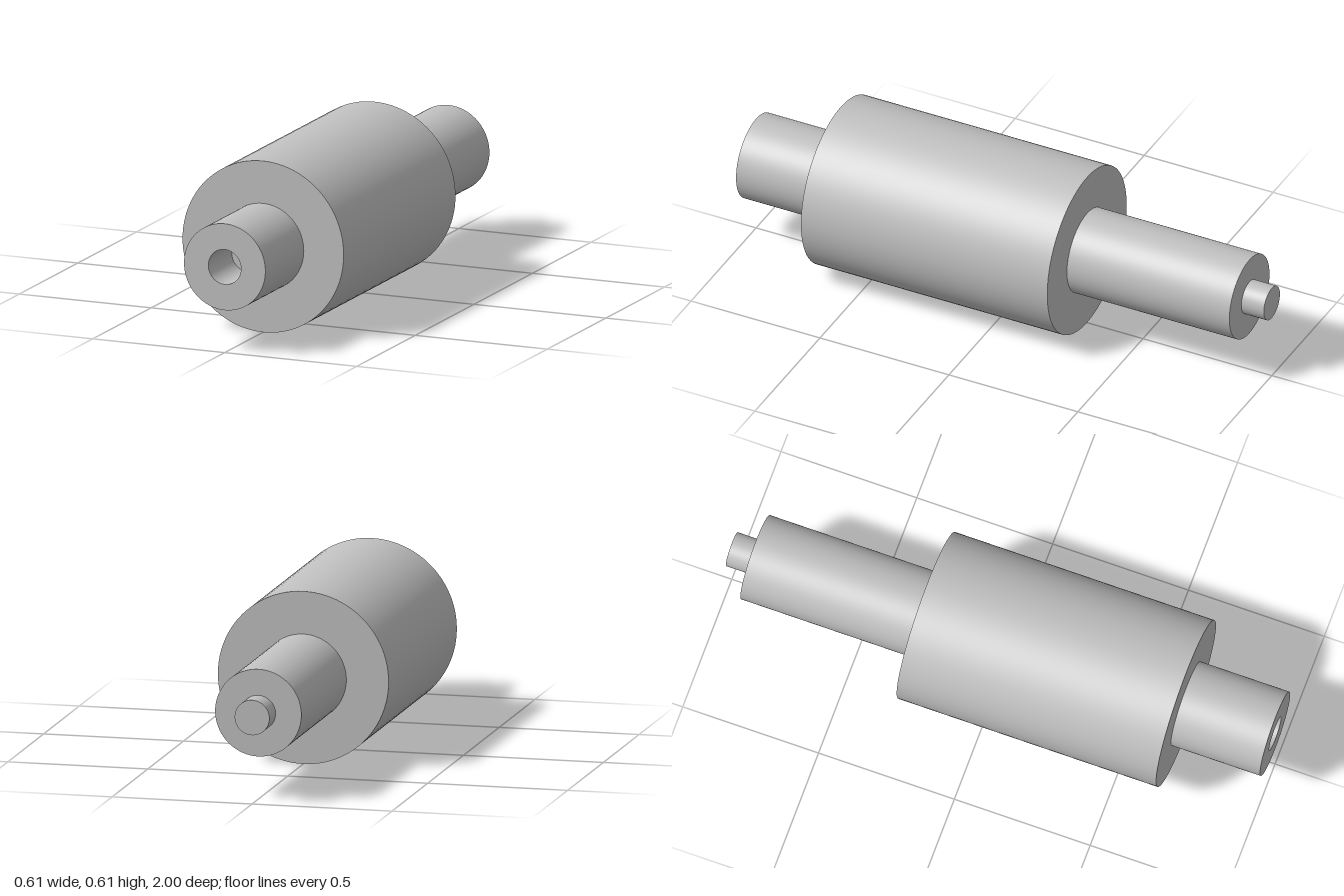
import * as THREE from 'three';
import { mergeGeometries } from 'three/addons/utils/BufferGeometryUtils.js';

const AXIS_HEIGHT = 0.305;
const BODY_R = 0.305, SHAFT_R = 0.154, PIN_R = 0.062;

// Turns a [radius, z] profile about the z axis, keeping every corner sharp
function turned(name, profile, material) {
  const bands = [];
  for (let i = 0; i < profile.length - 1; i++) {
    const ends = [profile[i], profile[i + 1]].map(([r, z]) => new THREE.Vector2(r, z));
    bands.push(new THREE.LatheGeometry(ends, 96));
  }
  const geometry = mergeGeometries(bands);
  geometry.rotateX(Math.PI / 2);
  const mesh = new THREE.Mesh(geometry, material);
  mesh.name = name;
  mesh.position.y = AXIS_HEIGHT;
  return mesh;
}

export function createModel() {
  const steel = new THREE.MeshStandardMaterial({ color: 0xc0c0c0 });
  steel.name = 'grey steel';

  const model = new THREE.Group();
  model.name = 'roller';
  model.add(
    // Small pin at the rear end
    turned('rearPin', [[0, -1], [PIN_R, -1], [PIN_R, -0.913]], steel),
    // Long rear shaft with its ring-shaped shoulder
    turned('rearShaft', [[PIN_R, -0.913], [SHAFT_R, -0.913], [SHAFT_R, -0.283]], steel),
    // Wide roller body
    turned('rollerBody', [[SHAFT_R, -0.283], [BODY_R, -0.283], [BODY_R, 0.672], [SHAFT_R, 0.672]], steel),
    // Short front shaft with a blind socket
    turned('frontShaft', [[SHAFT_R, 0.672], [SHAFT_R, 1], [PIN_R, 1]], steel),
    turned('frontSocket', [[PIN_R, 1], [PIN_R, 0.8], [0, 0.8]], steel),
  );
  return model;
}
